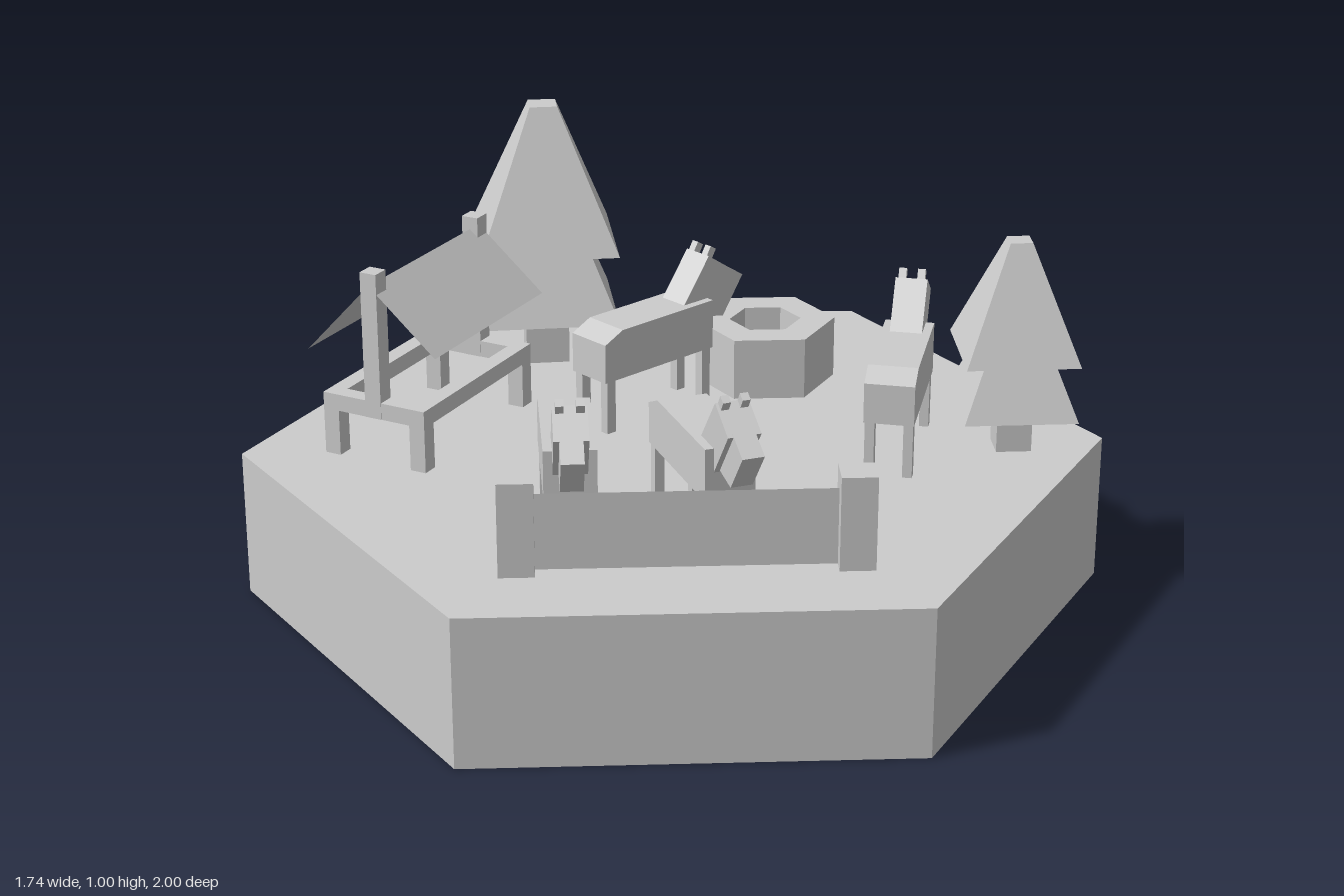
import * as THREE from 'three';

const GROUND = 0.35;
const mat = new THREE.MeshStandardMaterial({ color: 0xcccccc, flatShading: true });
const sheet = new THREE.MeshStandardMaterial({ color: 0xcccccc, flatShading: true, side: THREE.DoubleSide });

function add(parent, name, geo, x = 0, y = 0, z = 0, material = mat) {
  const m = new THREE.Mesh(geo, material);
  m.name = name;
  m.position.set(x, y, z);
  parent.add(m);
  return m;
}

function group(parent, name, x, z, turn = 0) {
  const g = new THREE.Group();
  g.name = name;
  g.position.set(x, GROUND, z);
  g.rotation.y = turn;
  parent.add(g);
  return g;
}

const box = (w, h, d) => new THREE.BoxGeometry(w, h, d);

// Side profile given as [forward, up], given a width across x
function profile(points, width) {
  const shape = new THREE.Shape(points.map(([f, u]) => new THREE.Vector2(f, u)));
  const geo = new THREE.ExtrudeGeometry(shape, { depth: width, bevelEnabled: false });
  return geo.translate(0, 0, -width / 2).rotateY(-Math.PI / 2);
}

function hexagon(r) {
  return Array.from({ length: 6 }, (_, i) => {
    const a = Math.PI / 2 + i * Math.PI / 3;
    return new THREE.Vector2(r * Math.cos(a), r * Math.sin(a));
  });
}

// Two stacked four-sided tiers on a square trunk
function addTree(parent, x, z, turn, scale) {
  const g = group(parent, 'tree', x, z, turn);
  g.scale.setScalar(scale);
  add(g, 'trunk', new THREE.CylinderGeometry(0.075, 0.075, 0.16, 4), 0, 0.08, 0);
  for (const y of [0.135, 0.31]) {
    add(g, 'foliage', new THREE.CylinderGeometry(0.047, 0.24, 0.345, 4), 0, y + 0.1725, 0);
  }
}

// Four-legged animal, starting at its rump and facing local +z
function addAnimal(parent, x, z, dx, dz) {
  const g = group(parent, 'animal', x, z, Math.atan2(dx, dz));
  add(g, 'body', profile([[0, 0.13], [0.345, 0.13], [0.345, 0.25], [0.055, 0.25], [0, 0.225]], 0.115));
  add(g, 'neckAndHead', profile([[0.27, 0.25], [0.345, 0.195], [0.425, 0.305], [0.35, 0.355]], 0.075));
  add(g, 'muzzle', profile([[0.345, 0.2], [0.41, 0.185], [0.475, 0.275], [0.42, 0.31]], 0.05));
  for (const side of [-1, 1]) {
    const ear = add(g, 'ear', box(0.018, 0.035, 0.02), side * 0.022, 0.355, 0.362);
    ear.rotation.x = 0.55;
    for (const f of [0.02, 0.325]) add(g, 'leg', box(0.022, 0.14, 0.026), side * 0.044, 0.07, f);
  }
}

// Pitched sheet roof on two ridge posts, over a low rail frame
function addShelter(parent) {
  const g = group(parent, 'shelter', -0.565, 0.16);
  const slope = (name, run, eave) => {
    const len = Math.hypot(run, 0.43 - eave);
    const geo = new THREE.PlaneGeometry(len, 0.48).rotateX(-Math.PI / 2);
    const m = add(g, name, geo, run / 2, (0.43 + eave) / 2, 0, sheet);
    m.rotation.z = Math.atan((eave - 0.43) / run);
  };
  slope('roofLeft', 0.17, 0.285);
  slope('roofRight', -0.17, 0.25);
  for (const z of [-0.22, 0.22]) {
    add(g, 'ridgePost', box(0.042, 0.35, 0.042), 0, 0.285, z);
    add(g, 'crossRail', box(0.27, 0.04, 0.04), 0, 0.13, z);
    for (const x of [-0.115, 0.115]) add(g, 'frameLeg', box(0.04, 0.115, 0.04), x, 0.0575, z);
  }
  for (const x of [-0.115, 0.115]) add(g, 'longRail', box(0.04, 0.04, 0.44), x, 0.13, 0);
}

// Two square posts joined by a thin panel
function addFence(parent) {
  const g = group(parent, 'fence', 0.318, 0.56, Math.PI / 6);
  add(g, 'fencePanel', new THREE.PlaneGeometry(0.72, 0.175), 0, 0.0875, 0, sheet);
  for (const x of [-0.36, 0.36]) add(g, 'fencePost', box(0.078, 0.215, 0.078), x, 0.1075, 0);
}

// Six-sided well ring
function addWell(parent) {
  const shape = new THREE.Shape(hexagon(0.17));
  shape.holes.push(new THREE.Path(hexagon(0.087).reverse()));
  const geo = new THREE.ExtrudeGeometry(shape, { depth: 0.15, bevelEnabled: false });
  add(parent, 'well', geo.rotateX(-Math.PI / 2), -0.005, GROUND, -0.49);
}

export function createModel() {
  const model = new THREE.Group();
  model.name = 'farmTile';
  add(model, 'base', new THREE.CylinderGeometry(1, 1, GROUND, 6), 0, GROUND / 2, 0);

  addTree(model, -0.55, -0.365, -0.19, 1);
  addTree(model, 0.69, -0.365, -0.25, 0.77);
  addShelter(model);
  addWell(model);
  addFence(model);

  addAnimal(model, -0.225, 0.0, 0.333, -0.943);
  addAnimal(model, 0.51, -0.06, -0.27, -0.963);
  addAnimal(model, -0.1, 0.345, 0.53, 0.85);
  addAnimal(model, 0.115, 0.23, 0.74, 0.67);
  return model;
}
